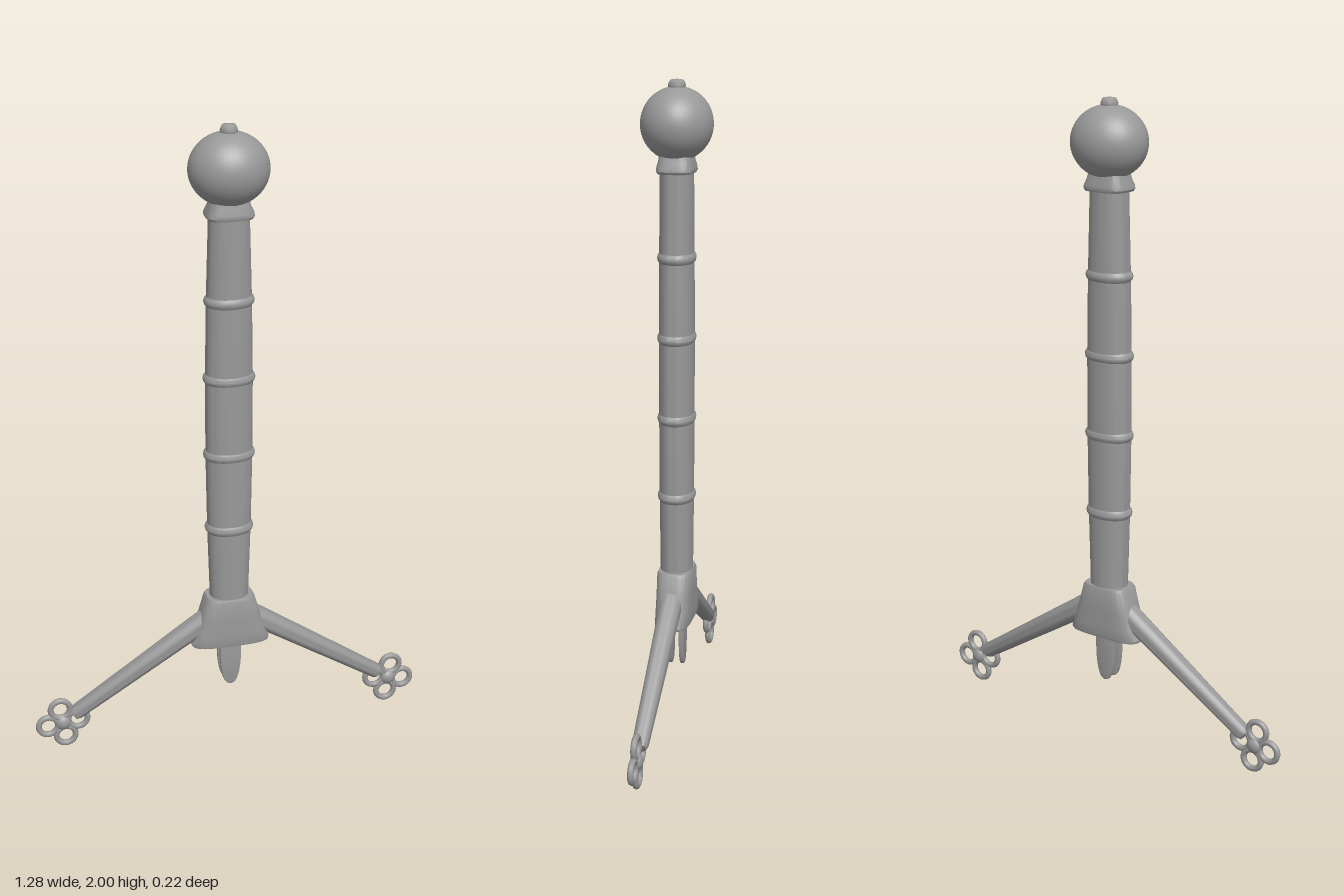
import * as THREE from 'three';
import { toCreasedNormals } from 'three/addons/utils/BufferGeometryUtils.js';

const steel = new THREE.MeshStandardMaterial({ color: 0x999999 });
steel.name = 'grey steel';

// Closed loft through superellipse sections [y, halfX, halfZ], listed bottom to top.
function loft(sections, power, seg = 40) {
  const pos = [], idx = [];
  const bend = v => Math.sign(v) * Math.pow(Math.abs(v), 2 / power);
  for (const [y, a, b] of sections) {
    for (let i = 0; i < seg; i++) {
      const t = (i / seg) * Math.PI * 2;
      pos.push(a * bend(Math.cos(t)), y, b * bend(Math.sin(t)));
    }
  }
  const n = sections.length;
  for (let r = 0; r < n - 1; r++) {
    for (let i = 0; i < seg; i++) {
      const j = (i + 1) % seg, p = r * seg, q = p + seg;
      idx.push(p + i, q + i, p + j, p + j, q + i, q + j);
    }
  }
  // end caps
  const bottom = n * seg, top = bottom + 1, last = (n - 1) * seg;
  pos.push(0, sections[0][0], 0, 0, sections[n - 1][0], 0);
  for (let i = 0; i < seg; i++) {
    const j = (i + 1) % seg;
    idx.push(bottom, i, j, top, last + j, last + i);
  }
  const g = new THREE.BufferGeometry();
  g.setAttribute('position', new THREE.Float32BufferAttribute(pos, 3));
  g.setIndex(idx);
  return toCreasedNormals(g, 0.6);
}

function add(parent, name, geometry, x = 0, y = 0, z = 0) {
  const m = new THREE.Mesh(geometry, steel);
  m.name = name;
  m.position.set(x, y, z);
  parent.add(m);
  return m;
}

// One sloping guard arm with its four-ring end, built towards +x.
function makeArm(name) {
  const arm = new THREE.Group();
  arm.name = name;
  const start = new THREE.Vector2(0.07, 0.405), end = new THREE.Vector2(0.515, 0.115);
  const length = start.distanceTo(end);
  const profile = [
    [0, 0], [0.036, 0], [0.025, length - 0.012], [0.02, length], [0, length + 0.004],
  ].map(p => new THREE.Vector2(...p));
  const bar = add(arm, 'quillon', toCreasedNormals(new THREE.LatheGeometry(profile, 24), 0.7), start.x, start.y);
  bar.rotation.z = Math.atan2(end.y - start.y, end.x - start.x) - Math.PI / 2;

  const cx = 0.55, cy = 0.09;
  const hub = add(arm, 'quatrefoilHub', new THREE.SphereGeometry(0.026, 20, 14), cx, cy);
  hub.scale.z = 0.75;
  for (let i = 0; i < 4; i++) {
    const t = -0.16 + Math.PI / 2 + i * Math.PI / 2 + 0.0;
    // each ring sits a quarter turn on around the hub
    add(arm, 'quatrefoilRing', new THREE.TorusGeometry(0.031, 0.0095, 10, 28),
      cx + 0.049 * Math.cos(t + 0.32 - 0.32), cy + 0.049 * Math.sin(t));
  }
  return arm;
}

export function createModel() {
  const model = new THREE.Group();
  model.name = 'swordHilt';

  // pommel with its peened button
  const pommel = add(model, 'pommel', new THREE.SphereGeometry(1, 40, 28), 0, 1.87, 0);
  pommel.scale.set(0.12, 0.109, 0.108);
  const button = [[0, 0], [0.025, 0], [0.026, 0.02], [0.02, 0.033], [0, 0.036]]
    .map(p => new THREE.Vector2(...p));
  add(model, 'pommelButton', new THREE.LatheGeometry(button, 24), 0, 1.964);

  // flared collar under the pommel
  add(model, 'collar', loft([
    [1.728, 0.068, 0.054], [1.735, 0.072, 0.057], [1.745, 0.071, 0.056],
    [1.765, 0.061, 0.051], [1.79, 0.056, 0.047],
  ], 3.5));

  // oval grip, widest in the middle
  add(model, 'grip', loft([
    [0.47, 0.061, 0.05], [0.73, 0.069, 0.052], [0.98, 0.073, 0.053],
    [1.23, 0.073, 0.053], [1.475, 0.069, 0.052], [1.74, 0.061, 0.05],
  ], 2.1));

  // raised bands around the grip
  for (const [y, a] of [[0.73, 0.069], [0.98, 0.073], [1.23, 0.073], [1.475, 0.069]]) {
    const band = [[-0.016, -0.001], [-0.008, 0.006], [0, 0.008], [0.008, 0.006], [0.016, -0.001]]
      .map(([dy, d]) => [y + dy, a + d, 0.052 + d * 0.75]);
    add(model, 'gripBand', loft(band, 2.1));
  }

  // guard block, spreading downwards
  add(model, 'guardBlock', loft([
    [0.32, 0.126, 0.054], [0.327, 0.128, 0.056], [0.36, 0.115, 0.056], [0.41, 0.1, 0.055],
    [0.478, 0.08, 0.055], [0.488, 0.074, 0.051],
  ], 3.6, 56));

  // tongues hanging below the guard, front and back
  const tongue = new THREE.Shape();
  tongue.moveTo(-0.031, 0.34);
  tongue.lineTo(-0.031, 0.27);
  tongue.bezierCurveTo(-0.029, 0.21, -0.02, 0.167, 0, 0.167);
  tongue.bezierCurveTo(0.02, 0.167, 0.029, 0.21, 0.031, 0.27);
  tongue.lineTo(0.031, 0.34);
  const tongueGeo = toCreasedNormals(new THREE.ExtrudeGeometry(tongue, {
    depth: 0.006, bevelEnabled: true, bevelThickness: 0.004, bevelSize: 0.004, bevelSegments: 2, curveSegments: 14,
  }), 0.5);
  add(model, 'frontTongue', tongueGeo, 0, 0, 0.016);
  add(model, 'backTongue', tongueGeo, 0, 0, -0.022);

  // arms: the right one is the left one turned half round
  model.add(makeArm('leftArm'));
  const right = makeArm('rightArm');
  right.rotation.y = Math.PI;
  model.add(right);
  return model;
}
